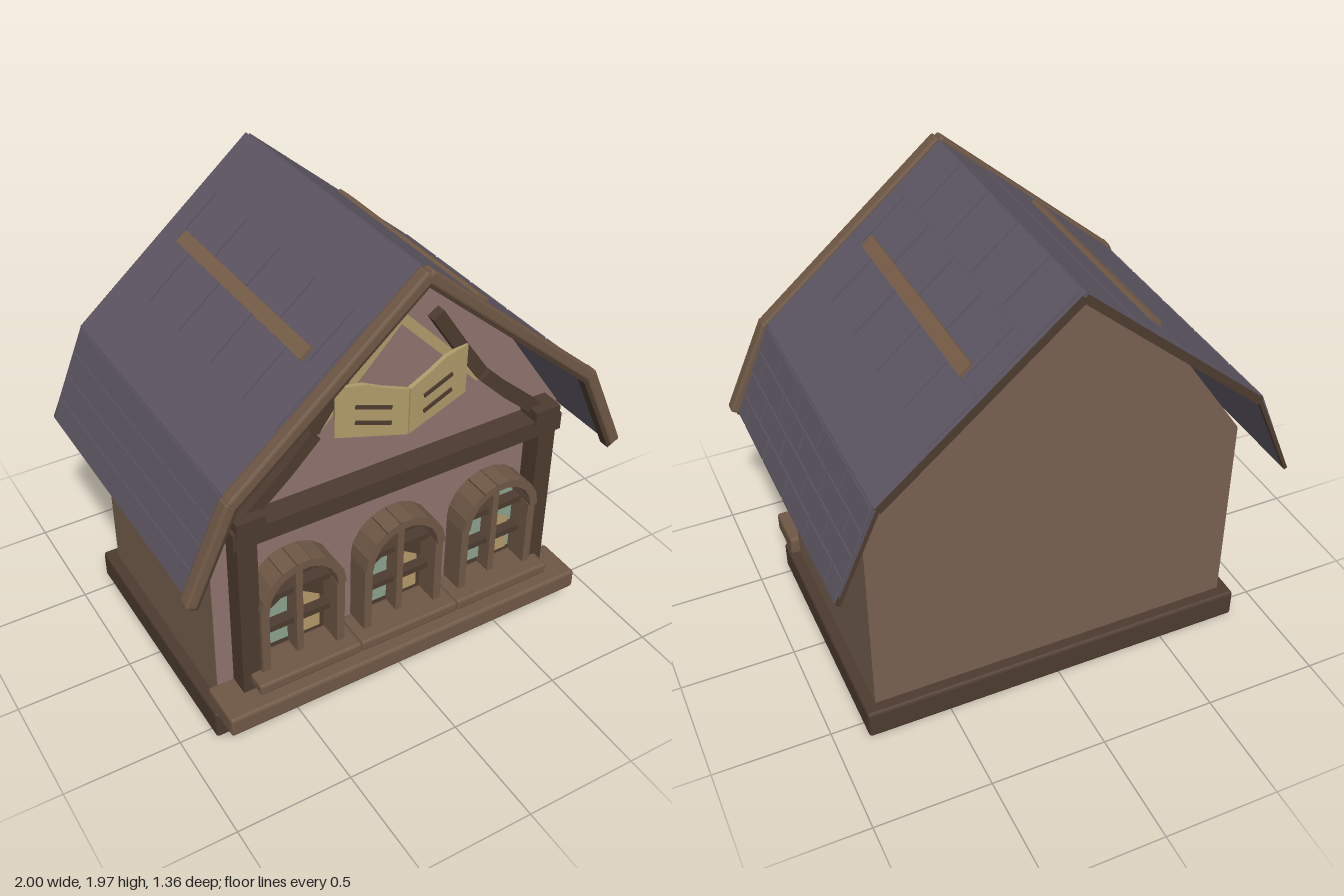
import * as THREE from 'three';
import { RoundedBoxGeometry } from 'three/addons/geometries/RoundedBoxGeometry.js';

const mat = (name, color, side = THREE.FrontSide) => {
  const m = new THREE.MeshStandardMaterial({ color, side, flatShading: true });
  m.name = name;
  return m;
};

export function createModel() {
  const M = {
    pink: mat('pinkPlaster', 0x8f726e),
    tan: mat('tanWall', 0x786150),
    dark: mat('darkWood', 0x4d3b2f),
    wood: mat('brownWood', 0x6f5846),
    strip: mat('roofStripWood', 0x785e48),
    slate: mat('slate', 0x5e5764, THREE.DoubleSide),
    cream: mat('paleWood', 0xb09b6a),
    glass: mat('greenGlass', 0x8ba18e),
    curtain: mat('curtain', 0xb39967),
  };
  const model = new THREE.Group();

  const add = (name, geometry, material, parent = model) => {
    const mesh = new THREE.Mesh(geometry, material);
    mesh.name = name;
    parent.add(mesh);
    return mesh;
  };
  // Box from its limits, with optional softened edges
  const box = (name, m, x0, x1, y0, y1, z0, z1, r = 0, parent = model) => {
    const s = [x1 - x0, y1 - y0, z1 - z0];
    const g = r ? new RoundedBoxGeometry(...s, 1, r) : new THREE.BoxGeometry(...s);
    const mesh = add(name, g, m, parent);
    mesh.position.set((x0 + x1) / 2, (y0 + y1) / 2, (z0 + z1) / 2);
    return mesh;
  };
  // Bar between two points of the front plane
  const bar = (name, m, [ax, ay], [bx, by], w, z0, z1, r = 0) => {
    const l = Math.hypot(bx - ax, by - ay);
    const mesh = box(name, m, -l / 2, l / 2, -w / 2, w / 2, z0, z1, r);
    mesh.position.set((ax + bx) / 2, (ay + by) / 2, (z0 + z1) / 2);
    mesh.rotation.z = Math.atan2(by - ay, bx - ax);
    return mesh;
  };
  const shape = (pts) => new THREE.Shape(pts.map(([x, y]) => new THREE.Vector2(x, y)));
  const slab = (name, m, s, z0, depth, parent = model) => {
    const mesh = add(name, new THREE.ExtrudeGeometry(s, { depth, bevelEnabled: false, curveSegments: 10 }), m, parent);
    mesh.position.z = z0;
    return mesh;
  };
  const plate = (name, m, s, x, z) => {
    const mesh = add(name, new THREE.ShapeGeometry(s, 10), m);
    mesh.position.set(x, 0, z);
  };

  // Base, ledge and house body
  box('base', M.dark, -0.86, 0.86, 0, 0.13, -0.585, 0.555, 0.012);
  box('frontLedge', M.wood, -0.85, 0.85, 0.12, 0.21, 0.47, 0.68, 0.012);
  const half = [[0.81, 0.1], [0.81, 1.03], [0.5, 1.48], [0.2, 1.76], [0, 1.88]];
  const house = shape([...half, ...half.slice(0, 4).reverse().map(([x, y]) => [-x, y])]);
  slab('houseBody', M.tan, house, -0.53, 1.005);
  slab('frontWall', M.pink, house, 0.475, 0.005);

  // Roof shell in two pitches per side
  const ridge = [0, 1.96], knee = [0.8, 1.28], eave = [0.97, 0.875];
  const outer = [[-0.97, 0.875], [-0.8, 1.28], ridge, knee, eave];
  const inner = [[0.958, 0.868], [0.786, 1.266], [0, 1.936], [-0.786, 1.266], [-0.958, 0.868]];
  slab('roof', M.slate, shape([...outer, ...inner]), -0.68, 1.31);

  // Raised slates: one row lies between two fractions of a pitch
  const tileRow = (s, a, b, t0, t1, odd) => {
    const dx = b[0] - a[0], dy = b[1] - a[1], l = Math.hypot(dx, dy);
    const t = (t0 + t1) / 2, joints = [0.61];
    for (let z = odd ? 0.51 : 0.375; z > -0.66; z -= 0.265) joints.push(z);
    joints.push(-0.67);
    for (let i = 0; i < joints.length - 1; i++) {
      const d = joints[i] - joints[i + 1] - 0.014;
      if (d < 0.02) continue;
      const tile = add('slateTile', new THREE.BoxGeometry(l * (t1 - t0) - 0.014, 0.014, d), M.slate);
      tile.position.set(s * (a[0] + dx * t), a[1] + dy * t, (joints[i] + joints[i + 1]) / 2);
      tile.rotation.z = s * Math.atan2(dy, dx);
    }
  };

  for (const s of [-1, 1]) {
    const at = ([x, y]) => [s * x, y];
    for (let i = s > 0 ? 0 : 1; i < 3; i++) tileRow(s, ridge, knee, i * 0.245, (i + 1) * 0.245, i % 2);
    for (let i = 0; i < 4; i++) tileRow(s, knee, eave, i / 4, (i + 1) / 4, i % 2);

    // Long strip on each slope
    const strip = box('roofStrip', M.strip, -0.03, 0.03, -0.018, 0.018, -0.53, 0.48);
    strip.position.set(s * 0.375, 1.645, -0.025);
    strip.rotation.z = -s * 0.705;

    // Front verge boards with a dark lower edge, and the rear verge
    bar('vergeBoard', M.wood, at([-0.005, 1.955]), at([0.8, 1.265]), 0.05, 0.62, 0.68, 0.01);
    bar('vergeUnderboard', M.dark, at([0, 1.922]), at([0.785, 1.245]), 0.028, 0.625, 0.67);
    bar('vergeBoardLower', M.wood, at([0.795, 1.28]), at([0.98, 0.872]), 0.05, 0.62, 0.68, 0.01);
    bar('vergeUnderboardLower', M.dark, at([0.782, 1.25]), at([0.962, 0.855]), 0.028, 0.625, 0.67);
    bar('rearVerge', M.dark, at([0, 1.935]), at([0.79, 1.265]), 0.035, -0.682, -0.665);
    bar('rearVergeLower', M.dark, at([0.79, 1.265]), at([0.962, 0.875]), 0.016, -0.682, -0.665);

    // Posts, caps and curved gable braces
    const px = s * 0.695;
    box('post', M.dark, px - 0.042, px + 0.042, 0.03, 1.09, 0.48, 0.572);
    box('postCap', M.dark, s * 0.68 - 0.06, s * 0.68 + 0.06, 1.03, 1.09, 0.48, 0.585);
    const brace = [[0.66, 1.07], [0.5, 1.21], [0.38, 1.33], [0.29, 1.46], [0.155, 1.665]];
    for (let i = 0; i < 4; i++)
      bar('gableBrace', M.dark, at(brace[i]), at(brace[i + 1]), 0.055, 0.478, i < 2 ? 0.54 : 0.52);
    bar('gableChevron', M.cream, at([-0.01, 1.71]), at([0.375, 1.31]), 0.04, 0.478, 0.508);

    // Folded sign page with two dark strokes
    const page = new THREE.Group();
    page.name = 'signPage';
    page.position.z = 0.56;
    page.rotation.y = s * 0.17;
    model.add(page);
    const outline = [[0, 1.22], [0.295, 1.28], [0.295, 1.5], [0.18, 1.49], [0.11, 1.46], [0, 1.425]];
    slab('signBoard', M.cream, shape(outline.map(at)), 0, 0.018, page);
    for (const y of [1.383, 1.313]) {
      const stroke = box('signStroke', M.dark, -0.075, 0.075, -0.008, 0.008, 0.016, 0.024, 0, page);
      stroke.position.x = s * 0.142;
      stroke.position.y = y;
      stroke.rotation.z = s * 0.245;
    }
  }
  box('crossBeam', M.dark, -0.755, 0.755, 0.965, 1.045, 0.48, 0.58);

  // Arched windows
  const arch = (r, y0) => {
    const a = new THREE.Shape();
    a.moveTo(-r, y0);
    a.lineTo(r, y0);
    a.lineTo(r, 0.62);
    a.absarc(0, 0.62, r, 0, Math.PI, false);
    a.closePath();
    return a;
  };
  const pane = (s) => shape([[s * 0.125, 0.33], [s * 0.125, 0.5], [s * 0.02, 0.57], [s * 0.02, 0.33]]);
  [-0.47, 0, 0.47].forEach((x, n) => {
    plate('windowBacking', M.dark, arch(0.175, 0.3), x, 0.484);
    plate('windowGlass', M.glass, n === 2 ? arch(0.145, 0.33) : pane(-1), x, 0.49);
    plate('windowCurtain', M.curtain, pane(1), x, 0.496);
    for (const s of [-1, 1])
      box('windowJamb', M.wood, x + s * 0.17 - 0.018, x + s * 0.17 + 0.018, 0.3, 0.62, 0.48, 0.59);
    for (let i = 0; i < 9; i++) {
      const a = ((i + 0.5) / 9) * Math.PI;
      const stone = box('archBlock', M.wood, -0.018, 0.018, -0.031, 0.031, 0.48, 0.6);
      stone.position.x = x + Math.cos(a) * 0.17;
      stone.position.y = 0.62 + Math.sin(a) * 0.17;
      stone.rotation.z = a;
    }
    box('windowMullion', M.wood, x - 0.015, x + 0.015, 0.3, 0.78, 0.484, 0.56);
    for (const y of [0.46, 0.62])
      box('windowCrossbar', M.dark, x - 0.155, x + 0.155, y - 0.014, y + 0.014, 0.484, 0.54);
    box('windowSill', M.wood, x - 0.234, x + 0.234, 0.25, 0.3, 0.48, 0.655, 0.01);
  });

  return model;
}
